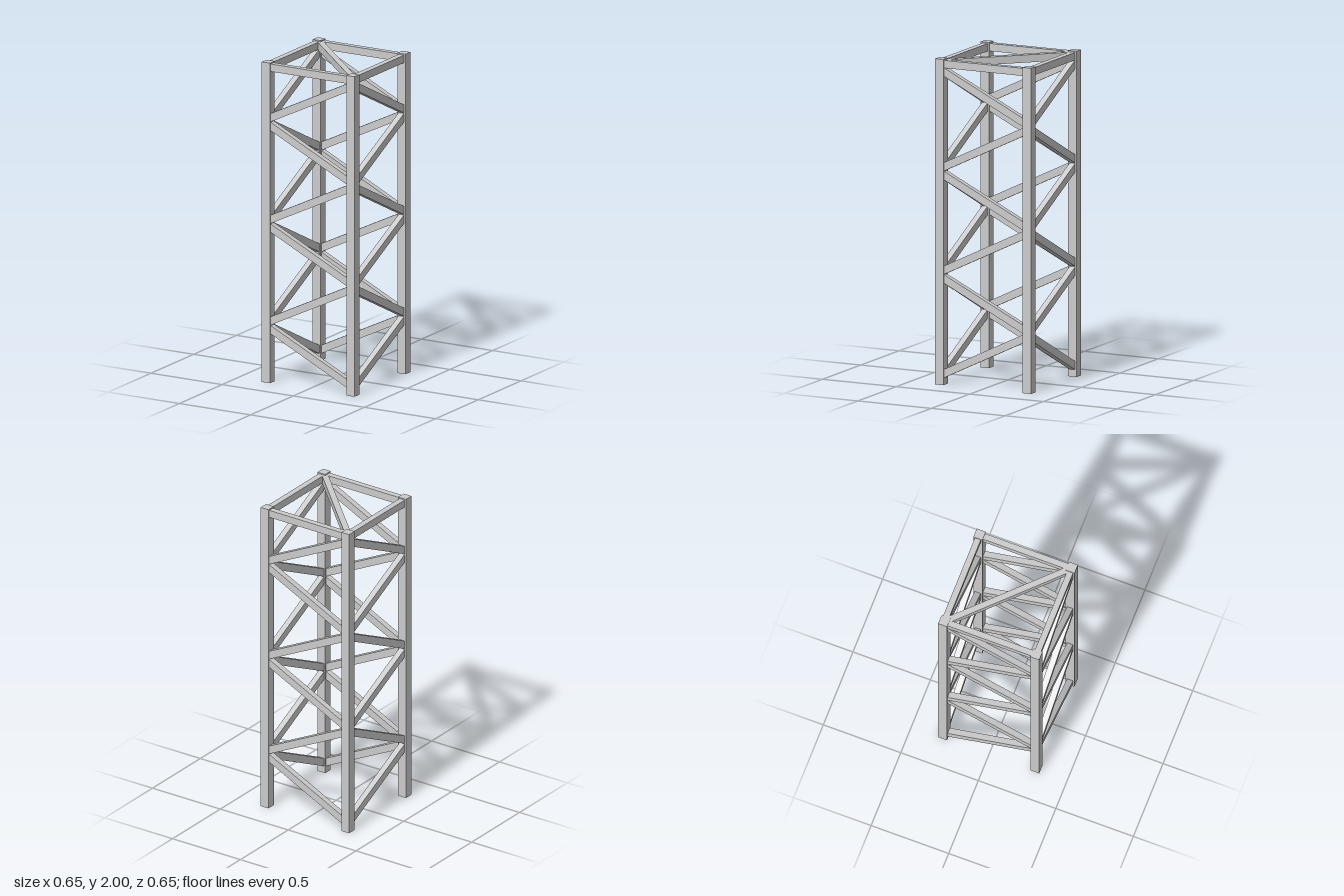
import * as THREE from 'three';

const H = 2;            // tower height
const LEG = 0.057;      // leg section
const R = 0.2975;       // leg centre offset
const BAR_W = 0.038;    // bar thickness across its face
const BAR_H = 0.047;    // bar depth within its face
const PANELS = 6;
const PITCH = 0.3175;   // panel spacing
const RISE = 0.29;      // rise of each brace

const material = new THREE.MeshStandardMaterial({ color: 0xcccccc, flatShading: true });

// Straight rectangular bar between two points, kept upright
function bar(name, a, b) {
  const mesh = new THREE.Mesh(new THREE.BoxGeometry(BAR_W, BAR_H, a.distanceTo(b)), material);
  mesh.position.copy(a).add(b).multiplyScalar(0.5);
  mesh.lookAt(b);
  mesh.name = name;
  return mesh;
}

export function createModel() {
  const tower = new THREE.Group();
  tower.name = 'latticeTower';

  // Corners in order around the tower
  const corners = [[1, 1], [1, -1], [-1, -1], [-1, 1]];
  const at = (i, y) => new THREE.Vector3(corners[i % 4][0] * R, y, corners[i % 4][1] * R);

  // Four legs
  for (let i = 0; i < 4; i++) {
    const leg = new THREE.Mesh(new THREE.BoxGeometry(LEG, H, LEG), material);
    leg.position.copy(at(i, H / 2));
    leg.name = 'leg';
    tower.add(leg);
  }

  // Zigzag braces on each face, starting low at corners 0 and 2
  for (let i = 0; i < 4; i++) {
    const face = new THREE.Group();
    face.name = 'faceBracing';
    const [even, odd] = i % 2 === 0 ? [i, i + 1] : [i + 1, i];
    for (let p = 0; p < PANELS; p++) {
      const mid = 0.201 + p * PITCH;
      const [low, high] = p % 2 === 0 ? [even, odd] : [odd, even];
      face.add(bar('diagonalBrace', at(low, mid - RISE / 2), at(high, mid + RISE / 2)));
    }
    tower.add(face);
  }

  // Top frame and its cross tie
  const topY = 1.969;
  for (let i = 0; i < 4; i++) tower.add(bar('topRail', at(i, topY), at(i + 1, topY)));
  tower.add(bar('topCrossTie', at(0, topY), at(2, topY)));

  return tower;
}
